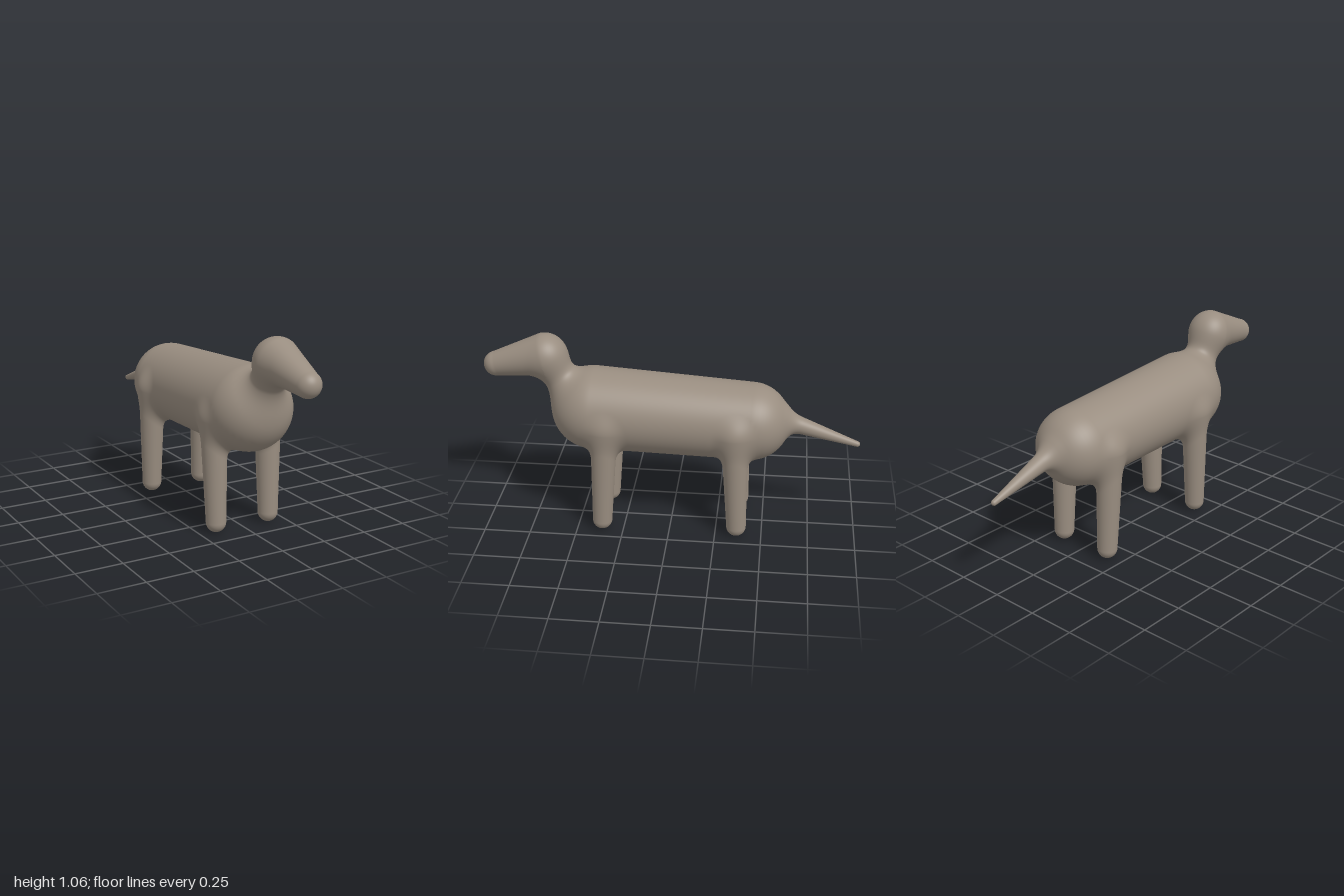
import * as THREE from 'three';

const V = (x, y, z) => new THREE.Vector3(x, y, z);
const BLEND = 0.065;

// Every limb is a tapered capsule: start a (radius ra) to end b (radius rb)
const limbs = [
  { name: 'torso', a: V(0, 0.615, -0.42), ra: 0.207, b: V(0, 0.655, 0.42), rb: 0.223, sides: 96, steps: 84 },
  { name: 'neck', a: V(0, 0.72, 0.53), ra: 0.09, b: V(0, 0.92, 0.65), rb: 0.085, sides: 56, steps: 30 },
  { name: 'head', a: V(0, 0.95, 0.672), ra: 0.114, b: V(0, 0.887, 0.933), rb: 0.066, sides: 56, steps: 30 },
  { name: 'tail', a: V(0, 0.63, -0.59), ra: 0.055, b: V(0, 0.506, -0.986), rb: 0.015, sides: 40, steps: 40 },
];
for (const [end, sz] of [['front', 1], ['rear', -1]]) {
  for (const [side, sx] of [['Left', 1], ['Right', -1]]) {
    limbs.push({
      name: `${end}${side}Leg`, a: V(sx * 0.157, 0.053, sz * 0.364), ra: 0.053,
      b: V(sx * 0.16, 0.6, sz * 0.343), rb: 0.071, sides: 48, steps: 50,
    });
  }
}

// Distance from a point to one tapered capsule
function limbDistance(p, { a, b, ra, rb }) {
  const ab = b.clone().sub(a);
  const t = THREE.MathUtils.clamp(p.clone().sub(a).dot(ab) / ab.lengthSq(), 0, 1);
  return p.distanceTo(ab.multiplyScalar(t).add(a)) - ra - (rb - ra) * t;
}

// All limbs melted together with soft joints
function field(p) {
  let d = Infinity;
  for (const limb of limbs) {
    const e = limbDistance(p, limb);
    const h = Math.max(BLEND - Math.abs(d - e), 0) / BLEND;
    d = Math.min(d, e) - h * h * BLEND / 4;
  }
  return d;
}

function gradient(p) {
  const e = 0.001;
  const slope = (x, y, z) => (field(V(p.x + x, p.y + y, p.z + z)) - field(V(p.x - x, p.y - y, p.z - z))) / (2 * e);
  return V(slope(e, 0, 0), slope(0, e, 0), slope(0, 0, e));
}

// Turned capsule whose skin is pushed out to the soft joints
function limbGeometry({ a, b, ra, rb, sides, steps }) {
  const length = a.distanceTo(b), cap = 14, profile = [];
  for (let i = 0; i < cap; i++) {
    const t = (i / cap) * Math.PI / 2;
    profile.push(new THREE.Vector2(ra * Math.sin(t), -ra * Math.cos(t)));
  }
  for (let i = 0; i <= steps; i++) {
    profile.push(new THREE.Vector2(ra + (rb - ra) * i / steps, length * i / steps));
  }
  for (let i = 1; i <= cap; i++) {
    const t = (i / cap) * Math.PI / 2;
    profile.push(new THREE.Vector2(Math.max(rb * Math.cos(t), 0), length + rb * Math.sin(t)));
  }
  const geometry = new THREE.LatheGeometry(profile, sides);
  const turn = new THREE.Quaternion().setFromUnitVectors(V(0, 1, 0), b.clone().sub(a).normalize());
  geometry.applyQuaternion(turn).translate(a.x, a.y, a.z);

  const { position, normal } = geometry.attributes;
  const p = V(0, 0, 0);
  for (let i = 0; i < position.count; i++) {
    p.fromBufferAttribute(position, i);
    if (field(p) < -0.04) continue; // buried inside a neighbour
    for (let n = 0; n < 3; n++) {
      const g = gradient(p);
      p.addScaledVector(g, -field(p) / Math.max(g.lengthSq(), 0.2));
    }
    position.setXYZ(i, p.x, p.y, p.z);
    const g = gradient(p).normalize();
    normal.setXYZ(i, g.x, g.y, g.z);
  }
  return geometry;
}

export function createModel() {
  const group = new THREE.Group();
  group.name = 'dog';
  const clay = new THREE.MeshStandardMaterial({ color: 0x998d80 });
  clay.name = 'warm grey clay';
  for (const limb of limbs) {
    const mesh = new THREE.Mesh(limbGeometry(limb), clay);
    mesh.name = limb.name;
    group.add(mesh);
  }
  return group;
}
